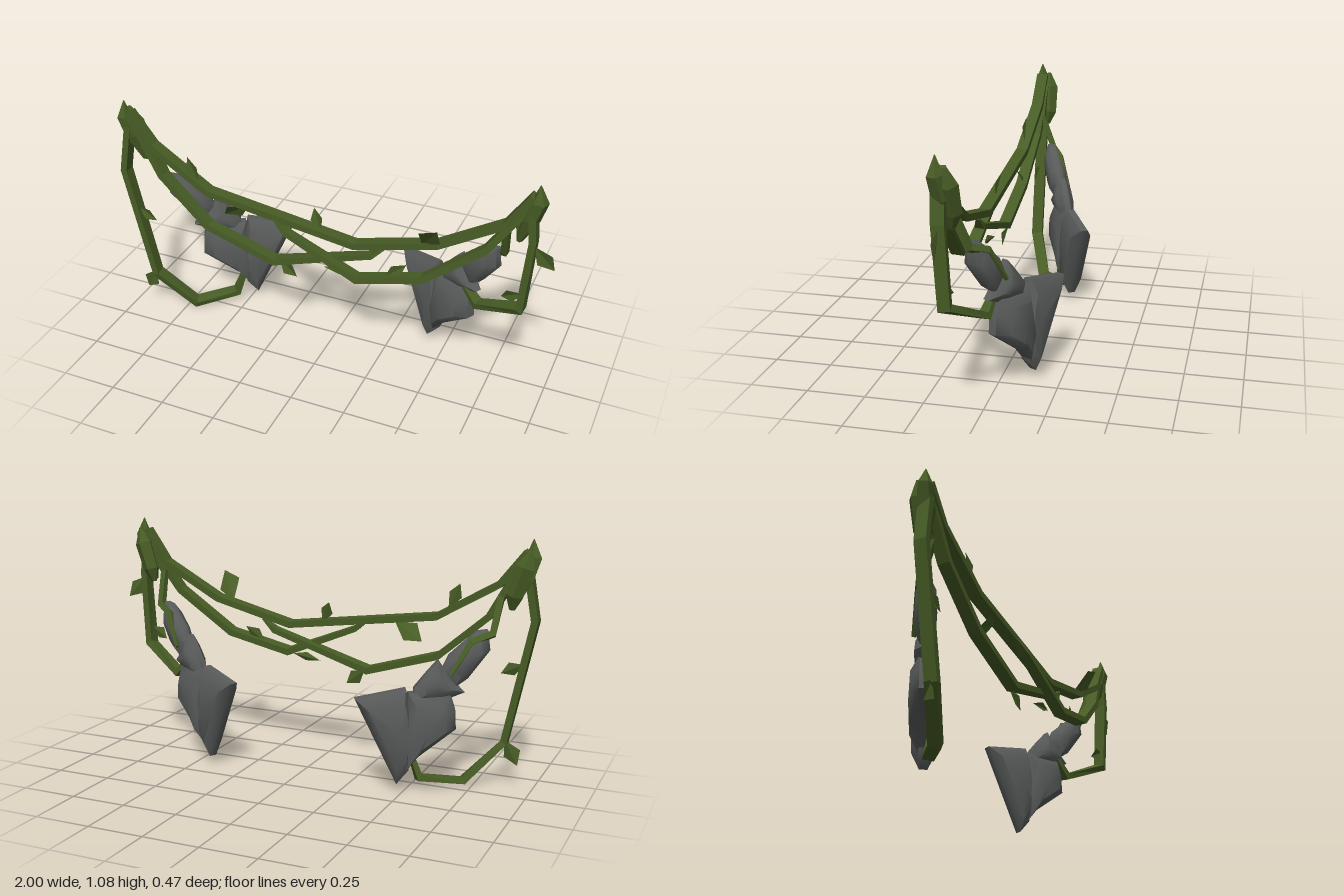
import * as THREE from 'three';
import { toCreasedNormals } from 'three/addons/utils/BufferGeometryUtils.js';

const V = (x, y, z) => new THREE.Vector3(x, y, z);
const MID = -0.025; // symmetry plane of the paired parts
const mirror = (p) => [2 * MID - p[0], ...p.slice(1)];

// Skin between successive rings of points; collapsed end rings close the shape
function loft(rings, flip = false) {
  const pos = [];
  const tri = (a, b, c) => {
    if (b.clone().sub(a).cross(c.clone().sub(a)).length() < 1e-9) return;
    for (const p of flip ? [a, c, b] : [a, b, c]) pos.push(p.x, p.y, p.z);
  };
  for (let i = 0; i < rings.length - 1; i++) {
    const r = rings[i], s = rings[i + 1], n = r.length;
    for (let j = 0; j < n; j++) {
      const k = (j + 1) % n;
      tri(r[j], s[j], r[k]);
      tri(r[k], s[j], s[k]);
    }
  }
  const geo = new THREE.BufferGeometry();
  geo.setAttribute('position', new THREE.Float32BufferAttribute(pos, 3));
  geo.computeVertexNormals();
  return geo;
}

// Angular stem through points [x, y, z, scale], with mitred joints;
// four sides give a flat strap, wide across z
function stem(points, wide = 0.038, thin = 0.021, sides = 4) {
  const p = points.map((q) => V(q[0], q[1], q[2]));
  const last = p.length - 1;
  const dir = (i) => p[i + 1].clone().sub(p[i]).normalize();
  let n = V(0, 0, 1);
  const rings = p.map((c, i) => {
    const t0 = dir(Math.max(i - 1, 0)), t1 = dir(Math.min(i, last - 1));
    const t = t0.clone().add(t1).normalize();
    n = n.clone().addScaledVector(t, -n.dot(t)).normalize();
    const b = n.clone().cross(t);
    const s = points[i][3] ?? 1, mitre = Math.min(1 / t.dot(t1), 1.4);
    return Array.from({ length: sides }, (_, j) => {
      const a = ((j + 0.5) / sides) * Math.PI * 2;
      return c.clone().addScaledVector(n, Math.cos(a) * wide * s)
        .addScaledVector(b, Math.sin(a) * thin * s * mitre);
    });
  });
  const cap = (c) => Array.from({ length: sides }, () => c.clone());
  return loft([cap(p[0]), ...rings, cap(p[last])]);
}

// Bevelled slab with its rim on a slanted vertical plane
const YAW = Math.atan(0.54);
function slab(outline, t, inset, flip) {
  const cx = outline.reduce((s, p) => s + p[0], 0) / outline.length;
  const cy = outline.reduce((s, p) => s + p[1], 0) / outline.length;
  const ring = (k, d) => outline.map(([px, py]) => {
    const x = cx + (px - cx) * k, y = cy + (py - cy) * k;
    const wx = x - Math.sin(YAW) * d;
    const wz = -0.21 + 0.54 * (x - 0.27) + Math.cos(YAW) * d;
    return V(flip ? 2 * MID - wx : wx, y, wz);
  });
  const geo = loft([ring(0, t), ring(inset, t * 0.9), ring(1, t * 0.3),
    ring(1, -t * 0.3), ring(inset, -t * 0.9), ring(0, -t)], flip);
  return toCreasedNormals(geo, 0.8);
}

// Folded diamond leaf from base to tip; tilt turns its sides in z
function leaf(base, tip, width, tilt = 0) {
  const a = V(...base), c = V(...tip);
  const d = c.clone().sub(a);
  const side = V(-d.y, d.x, 0).normalize().multiplyScalar(width / 2);
  side.z = tilt;
  const m = a.clone().addScaledVector(d, 0.55);
  const l = m.clone().add(side).add(V(0, 0, 0.01));
  const r = m.clone().sub(side).add(V(0, 0, 0.01));
  const pos = [a, r, c, a, c, l].flatMap((v) => v.toArray());
  const geo = new THREE.BufferGeometry();
  geo.setAttribute('position', new THREE.Float32BufferAttribute(pos, 3));
  geo.computeVertexNormals();
  return geo;
}

export function createModel() {
  const model = new THREE.Group();
  model.name = 'vineGarland';
  const green = new THREE.MeshStandardMaterial({ color: 0x475c25, side: THREE.DoubleSide });
  green.name = 'vineGreen';
  const grey = new THREE.MeshStandardMaterial({ color: 0x585b5a });
  grey.name = 'stoneGrey';
  const add = (name, geo, mat, parent = model) => {
    const mesh = new THREE.Mesh(geo, mat);
    mesh.name = name;
    parent.add(mesh);
  };

  // Long draped vines
  add('upperVine', stem([[-0.94, 1.03, 0.12], [-0.83, 0.89, 0.125], [-0.55, 0.725, 0.14],
    [0.15, 0.63, 0.145], [0.52, 0.725, 0.14], [0.79, 0.88, 0.125], [0.89, 1.03, 0.12]]), green);
  add('lowerVineRight', stem([[-0.92, 0.98, 0.11], [-0.79, 0.75, 0.125], [-0.56, 0.55, 0.145],
    [-0.23, 0.45, 0.15], [0.23, 0.595, 0.145, 0.8], [0.29, 0.645, 0.14, 0.3]]), green);
  add('lowerVineLeft', stem([[0.88, 0.98, 0.11], [0.72, 0.75, 0.14], [0.47, 0.56, 0.175],
    [0.18, 0.49, 0.19], [-0.16, 0.63, 0.175, 0.8], [-0.23, 0.68, 0.16, 0.3]]), green);

  // Hanging side vines
  add('hangingVineRight', stem([[-0.94, 0.99, 0.12], [-0.982, 0.74, 0.13], [-0.87, 0.2, 0.13],
    [-0.71, 0.025, 0.06], [-0.55, 0.055, -0.06, 0.9], [-0.51, 0.17, -0.07, 0.6]]), green);
  add('hangingVineLeft', stem([[0.89, 0.99, 0.12], [0.905, 0.82, 0.12], [0.88, 0.48, 0.11],
    [0.67, 0.375, 0.01, 0.9], [0.6, 0.45, -0.01, 0.6]]), green);

  // Paired knots, short tendrils and stones
  const knots = [
    [[0.91, 1.083, 0.125, 0.05], [0.915, 1.01, 0.125, 0.8], [0.88, 0.92, 0.11, 1], [0.84, 0.8, 0.1, 0.3]],
    [[0.91, 1.04, 0.09, 0.2], [0.89, 0.97, 0.085, 1], [0.85, 0.85, 0.08, 0.9], [0.84, 0.79, 0.085, 0.3]],
  ];
  const tendril = [[0.87, 0.95, 0.1], [0.79, 0.84, 0.1], [0.775, 0.69, 0.04],
    [0.7, 0.66, -0.01], [0.63, 0.52, -0.07, 0.5]];
  const stones = [
    ['stoneHandle', 0.045, 0.62, [[0.75, 0.705], [0.71, 0.7], [0.61, 0.6], [0.58, 0.53],
      [0.63, 0.46], [0.68, 0.5], [0.76, 0.62]]],
    ['stoneNeck', 0.047, 0.5, [[0.57, 0.58], [0.53, 0.53], [0.48, 0.46], [0.48, 0.4],
      [0.6, 0.41], [0.67, 0.44], [0.61, 0.51]]],
    ['stoneHead', 0.064, 0.64, [[0.615, 0.44], [0.46, 0.44], [0.42, 0.2], [0.45, 0.09],
      [0.5, 0.16], [0.64, 0.28], [0.635, 0.37]]],
    ['stoneBlade', 0.055, 0.7, [[0.45, 0.46], [0.26, 0.42], [0.42, 0.04], [0.465, 0.1],
      [0.48, 0.22], [0.47, 0.36]]],
  ];
  for (const side of ['Left', 'Right']) {
    const flip = side === 'Right';
    const place = (pts) => (flip ? pts.map(mirror) : pts);
    const group = new THREE.Group();
    group.name = 'stoneAxe' + side;
    model.add(group);
    for (const [name, t, inset, outline] of stones) add(name, slab(outline, t, inset, flip), grey, group);
    knots.forEach((k) => add('knot' + side, stem(place(k), 0.042, 0.043, 5), green));
    add('tendril' + side, stem(place(tendril), 0.019, 0.019), green);
  }

  // Leaves: base, tip, width, tilt
  const leaves = [
    [[-0.6, 0.76, 0.14], [-0.65, 0.875, 0.14], 0.06],
    [[-0.36, 0.69, 0.13], [-0.49, 0.61, 0.12], 0.08, -0.03],
    [[-0.01, 0.65, 0.14], [-0.05, 0.75, 0.12], 0.06],
    [[0.45, 0.71, 0.15], [0.54, 0.84, 0.235], 0.1, 0.02],
    [[-0.22, 0.45, 0.13], [-0.13, 0.38, 0.14], 0.07],
    [[0, 0.47, 0.14], [0.14, 0.49, 0.15], 0.04],
    [[0.3, 0.52, 0.18], [0.39, 0.595, 0.16], 0.06],
    [[0.91, 0.8, 0.12], [1.0, 0.7, 0.11], 0.08],
    [[0.88, 0.56, 0.12], [0.79, 0.51, 0.1], 0.06],
    [[-0.94, 0.55, 0.13], [-0.84, 0.5, 0.14], 0.06],
    [[-0.87, 0.21, 0.13], [-0.93, 0.1, 0.13], 0.08],
  ];
  leaves.forEach((args) => add('leaf', leaf(...args), green));
  return model;
}
